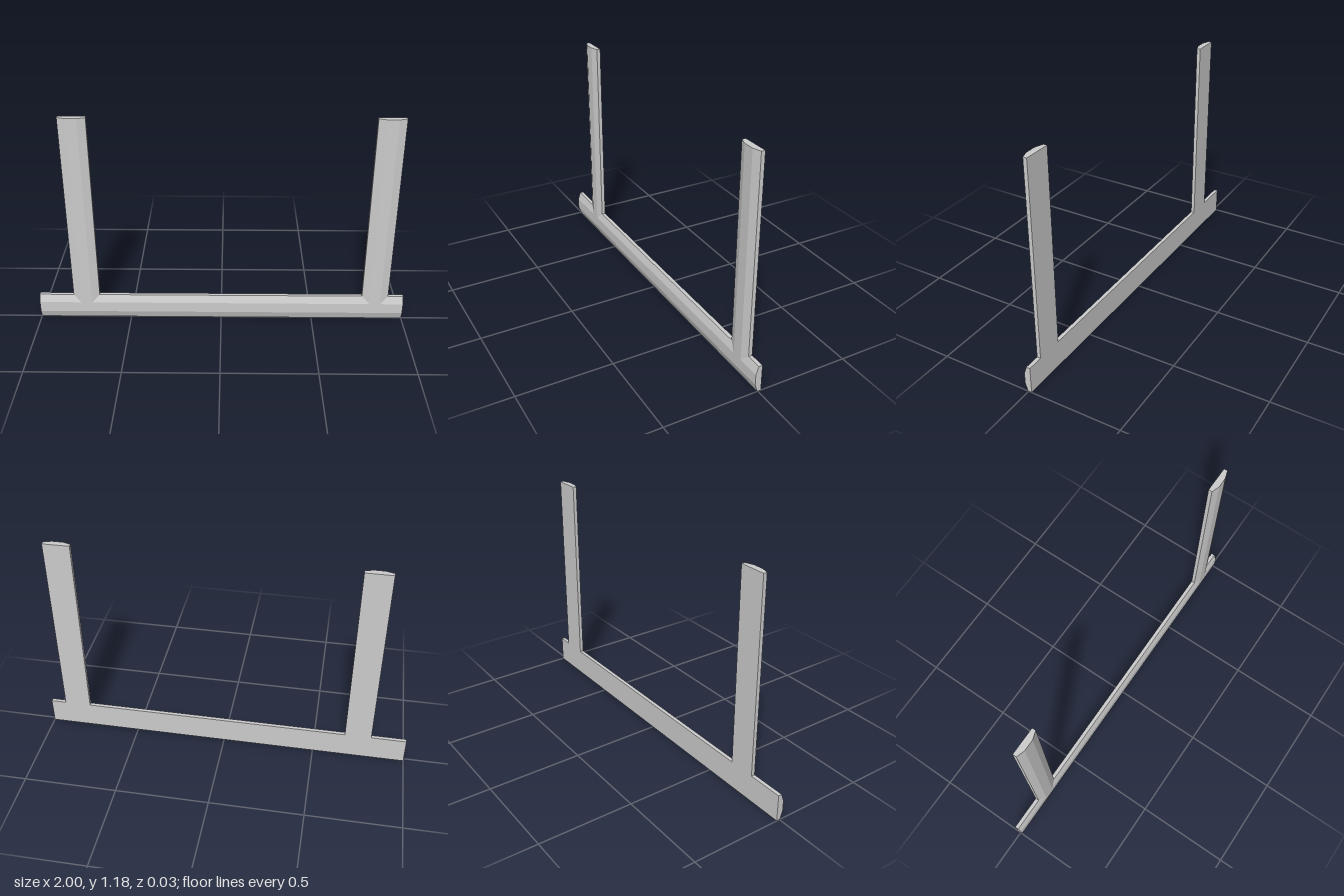
import * as THREE from 'three';

const HALF = 0.0715;     // half the width of a bar
const CROWN = 0.029;     // half the width of its flat front
const BACK = -0.017, SHOULDER = 0.003, FRONT = 0.017;
const HEIGHT = 1.18;

// Upright bar with a flat back and a bevelled front, standing on y = 0
function barGeometry(length) {
  const profile = new THREE.Shape([
    [-HALF, BACK], [HALF, BACK], [HALF, SHOULDER],
    [CROWN, FRONT], [-CROWN, FRONT], [-HALF, SHOULDER],
  ].map(([x, z]) => new THREE.Vector2(x, -z)));
  const geometry = new THREE.ExtrudeGeometry(profile, { depth: length, bevelEnabled: false });
  return geometry.rotateX(-Math.PI / 2);
}

// Bar whose foot is cut to sit on the bevel of the rail
function postGeometry() {
  const geometry = barGeometry(HEIGHT);
  const pos = geometry.attributes.position;
  for (let i = 0; i < pos.count; i++) {
    if (pos.getY(i) > 0.01) continue;
    const onCrown = pos.getZ(i) > FRONT - 0.001;
    pos.setY(i, HALF + (onCrown ? CROWN : HALF));
  }
  geometry.computeVertexNormals();
  return geometry;
}

export function createModel() {
  const group = new THREE.Group();
  group.name = 'trimFrame';
  const material = new THREE.MeshStandardMaterial({ color: 0xcccccc, flatShading: true });

  // Bottom rail, laid along x
  const rail = new THREE.Mesh(
    barGeometry(2).translate(0, -1, 0).rotateZ(Math.PI / 2), material);
  rail.name = 'bottomRail';
  rail.position.y = HALF;
  group.add(rail);

  // Two uprights, set unevenly along the rail
  for (const [name, x] of [['rightPost', -0.74], ['leftPost', 0.845]]) {
    const post = new THREE.Mesh(postGeometry(), material);
    post.name = name;
    post.position.x = x;
    group.add(post);
  }
  return group;
}
